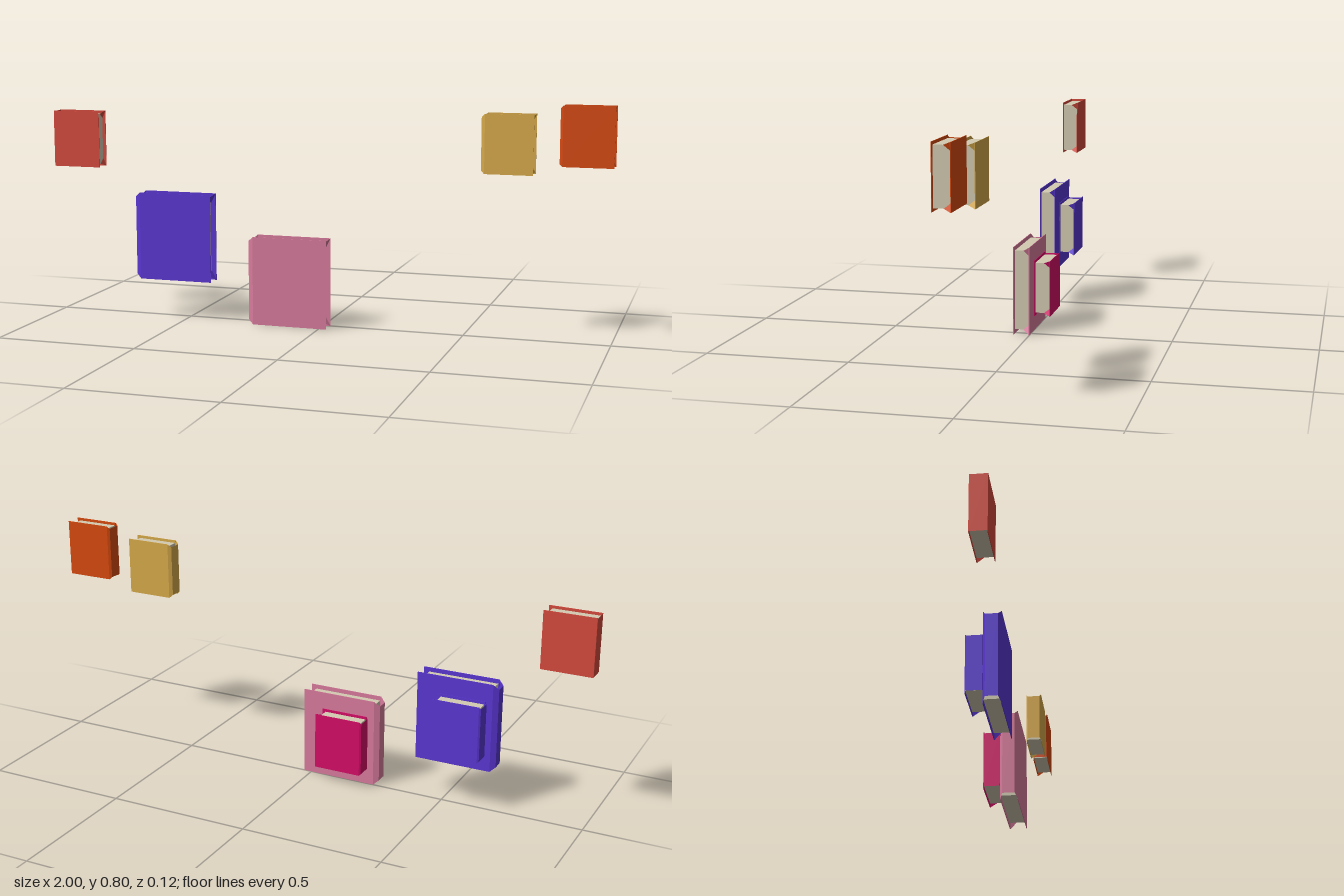
import * as THREE from 'three';

const mat = (name, color, extra = {}) => {
  const m = new THREE.MeshStandardMaterial({ color, side: THREE.DoubleSide, flatShading: true });
  m.name = name;
  return m;
};

const T = 0.002; // cover sheet thickness
const DEPTH = 0.058;

function box(name, material, x0, x1, y0, y1, z0, z1) {
  const g = new THREE.BoxGeometry(x1 - x0, y1 - y0, z1 - z0);
  g.translate((x0 + x1) / 2, (y0 + y1) / 2, (z0 + z1) / 2);
  const m = new THREE.Mesh(g, material);
  m.name = name;
  return m;
}

function facets(name, material, points, index) {
  const g = new THREE.BufferGeometry();
  g.setAttribute('position', new THREE.Float32BufferAttribute(points.flat(), 3));
  g.setIndex(index);
  const flat = g.toNonIndexed();
  flat.computeVertexNormals();
  const m = new THREE.Mesh(flat, material);
  m.name = name;
  return m;
}

// Spine shell: bevelled folds join the flat back strip to both covers
function spine(material, x, bevel, h) {
  const b = bevel;
  const columns = [
    [x + b, 0, 0], [x, b * 0.9, b * 0.5],
    [x, b * 0.9, DEPTH - b * 0.5], [x + b, 0, DEPTH],
  ];
  const points = [], index = [];
  for (const [cx, inset, cz] of columns) points.push([cx, inset, cz], [cx, h - inset, cz]);
  for (let i = 0; i < columns.length - 1; i++) {
    const a = i * 2;
    index.push(a, a + 2, a + 3, a, a + 3, a + 1);
  }
  return facets('spine', material, points, index);
}

// One upright book, spine toward -x, standing on its own base
function book(name, cover, pages, { x0, x1, y, h, z = 0, bevel, inset }) {
  const g = new THREE.Group();
  g.name = name;
  const pageRight = x1 - inset * 1.3;
  g.add(
    box('backCover', cover, x0 + bevel, x1, 0, h, 0, T),
    box('frontCover', cover, x0 + bevel, x1, 0, h, DEPTH - T, DEPTH),
    spine(cover, x0, bevel, h),
    box('pages', pages, x0 + bevel + 0.003, pageRight, inset, h - inset, T, DEPTH - T),
  );
  // Folded corner gussets between the back cover and the page block
  const rise = 0.012 + inset * 0.6;
  for (const top of [false, true]) {
    const fy = (v) => (top ? h - v : v);
    const p = [
      [x1, fy(0), T],
      [pageRight + 0.001, fy(inset), 0.025],
      [pageRight + 0.001, fy(inset + rise), T],
    ];
    g.add(facets('cornerGusset', cover, p, top ? [0, 1, 2] : [0, 2, 1]));
  }
  g.position.set(0, y, z);
  return g;
}

export function createModel() {
  const model = new THREE.Group();
  model.name = 'floatingBooks';
  const pages = mat('pageCream', 0xd3cbb2);
  const pink = mat('dustyPink', 0xd87b9c);
  const violet = mat('violetBlue', 0x5936d2);
  const red = mat('brickRed', 0xd54a3d);
  const gold = mat('mutedGold', 0xd6a94a);
  const orange = mat('burntOrange', 0xd6490e);
  const magenta = mat('deepMagenta', 0xd60c68);

  const large = { h: 0.313, bevel: 0.018, inset: 0.015 };
  const small = { h: 0.2, bevel: 0.012, inset: 0.0095 };
  const behind = -DEPTH - 0.001;
  model.add(
    book('largePinkBook', pink, pages, { ...large, x0: -0.26, x1: 0.027, y: 0 }),
    book('largeVioletBook', violet, pages, { ...large, x0: -0.687, x1: -0.4, y: 0.14 }),
    book('smallRedBook', red, pages, { ...small, bevel: 0.001, x0: -1, x1: -0.823, y: 0.537 }),
    book('smallGoldBook', gold, pages, { ...small, x0: 0.563, x1: 0.738, y: 0.567 }),
    book('smallOrangeBook', orange, pages, { ...small, bevel: 0.009, x0: 0.823, x1: 1, y: 0.6 }),
    book('smallMagentaBook', magenta, pages, { ...small, bevel: 0.006, x0: -0.22, x1: -0.045, y: 0.053, z: behind }),
    book('smallVioletBook', violet, pages, { ...small, bevel: 0.006, x0: -0.65, x1: -0.475, y: 0.19, z: behind }),
  );
  return model;
}
